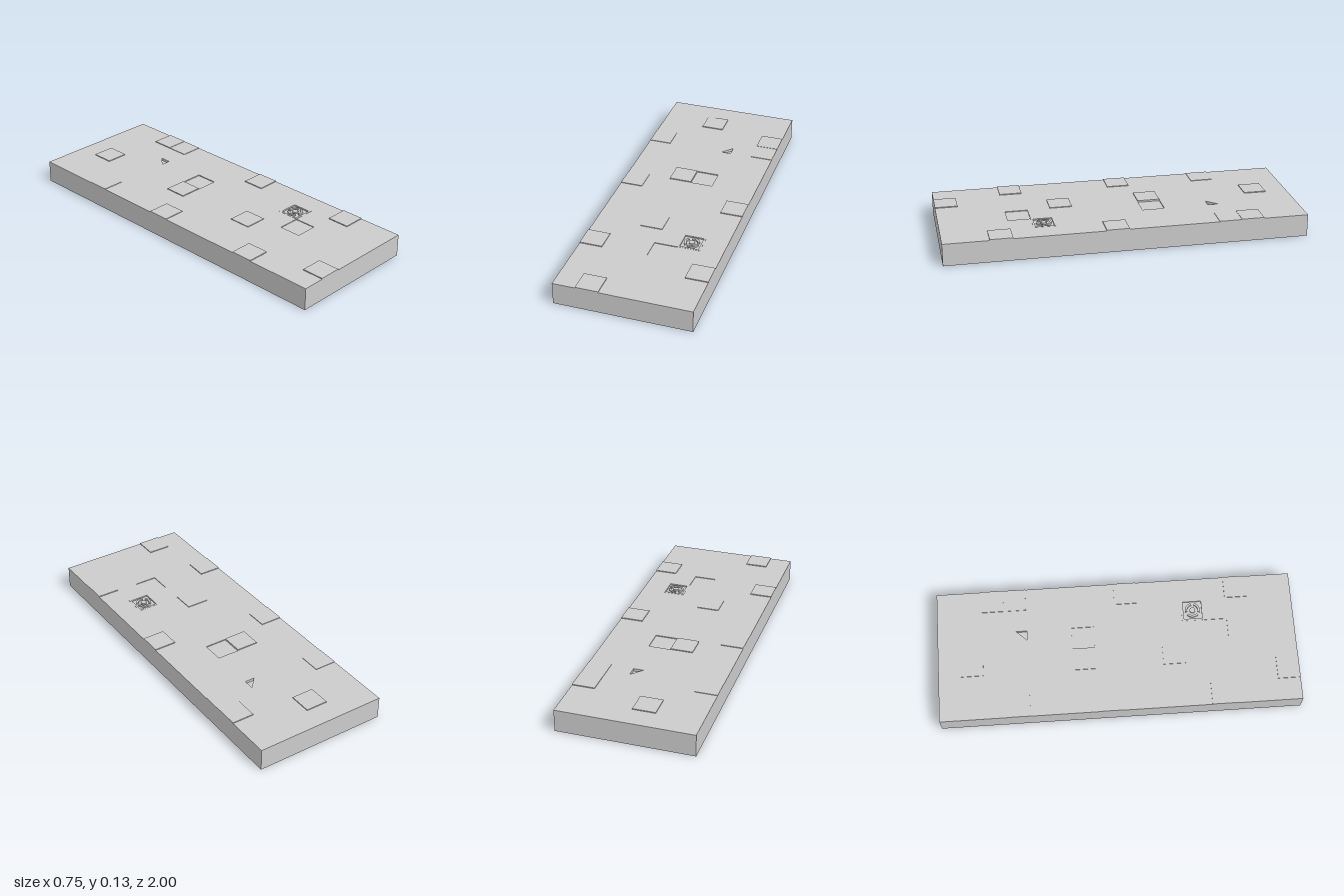
import * as THREE from 'three';

const W = 0.75, L = 2, TOP = 0.125, BED = 0.11, T = 0.125;
const material = new THREE.MeshStandardMaterial({ color: 0xcccccc, flatShading: true });

// Tile grid: 6 columns from -x to +x, 16 rows from the front to the back.
const cellX = (i) => -W / 2 + (i + 0.5) * T;
const cellZ = (j) => L / 2 - (j + 0.5) * T;

// Loose tiles standing slightly proud: [column, row, rise]
const RAISED = [
  [1, 0, 0.005], [0, 3, 0.005], [2, 5, 0.004], [5, 2, 0.005], [5, 7, 0.005],
  [0, 8, 0.004], [2, 9, 0.005], [0, 12, 0.003], [5, 12, 0.003], [5, 13, 0.005],
  [2, 14, 0.005],
];
// Settled tiles lying below the floor: [column, row, drop]
const SUNKEN = [[3, 3, 0.004], [3, 9, 0.005]];
const CARVED = [4, 4];
const CHIPPED = [3, 12];

function add(parent, name, geometry) {
  const mesh = new THREE.Mesh(geometry, material);
  mesh.name = name;
  parent.add(mesh);
  return mesh;
}

function block(parent, name, x, z, w, d, y0, y1) {
  add(parent, name, new THREE.BoxGeometry(w, y1 - y0, d)).position.set(x, (y0 + y1) / 2, z);
}

// Extrudes an outline drawn in x and z downwards from y = top.
function slab(parent, name, shape, top, depth) {
  const g = new THREE.ExtrudeGeometry(shape, { depth, bevelEnabled: false, curveSegments: 12 });
  g.rotateX(Math.PI / 2).translate(0, top, 0);
  add(parent, name, g);
}

function outline(Type, points) {
  return new Type(points.map(([x, z]) => new THREE.Vector2(x, z)));
}

function square(Type, x, z, w, d) {
  return outline(Type, [
    [x - w / 2, z - d / 2], [x + w / 2, z - d / 2],
    [x + w / 2, z + d / 2], [x - w / 2, z + d / 2],
  ]);
}

// Curved band between two radii.
function arcBand(x, z, r0, r1, from, to) {
  const s = new THREE.Shape();
  s.absarc(x, z, r1, from, to, false);
  s.absarc(x, z, r0, to, from, true);
  return s;
}

export function createModel() {
  const model = new THREE.Group();
  model.name = 'tiledFloor';

  // Solid bed and the floor layer, open where tiles have sunk or are carved
  block(model, 'bed', 0, 0, W, L, 0, BED);
  const floor = square(THREE.Shape, 0, 0, W, L);
  for (const [i, j] of [...SUNKEN, CARVED]) {
    floor.holes.push(square(THREE.Path, cellX(i), cellZ(j), T, T));
  }
  const cx = cellX(CHIPPED[0]) + T / 2, cz = cellZ(CHIPPED[1]) + T / 2;
  floor.holes.push(outline(THREE.Path, [[cx, cz], [cx - 0.055, cz], [cx, cz - 0.06]]));
  slab(model, 'floorLayer', floor, TOP, TOP - BED);

  // Uneven tiles
  const tiles = new THREE.Group();
  tiles.name = 'unevenTiles';
  model.add(tiles);
  for (const [i, j, rise] of RAISED) {
    block(tiles, 'raisedTile', cellX(i), cellZ(j), T, T, TOP - 0.002, TOP + rise);
  }
  for (const [i, j, drop] of SUNKEN) {
    block(tiles, 'sunkenTile', cellX(i), cellZ(j), T, T, BED, TOP - drop);
  }

  // Carved tile: a raised rim, a curved relief and a round centre
  const carved = new THREE.Group();
  carved.name = 'carvedTile';
  model.add(carved);
  const x = cellX(CARVED[0]), z = cellZ(CARVED[1]);
  block(carved, 'carvedTileBed', x, z, T, T, BED, TOP - 0.007);
  const rim = square(THREE.Shape, x, z, T, T);
  rim.holes.push(square(THREE.Path, x, z, T - 0.022, T - 0.022));
  slab(carved, 'carvedRim', rim, TOP + 0.001, 0.01);
  for (const a of [0.3, 2.4, 4.5]) {
    slab(carved, 'carvedArc', arcBand(x, z, 0.03, 0.042, a, a + 1.6), TOP + 0.002, 0.012);
  }
  const centre = new THREE.Shape();
  centre.absarc(x, z, 0.016, 0, Math.PI * 2, false);
  slab(carved, 'carvedCentre', centre, TOP + 0.002, 0.012);

  return model;
}
